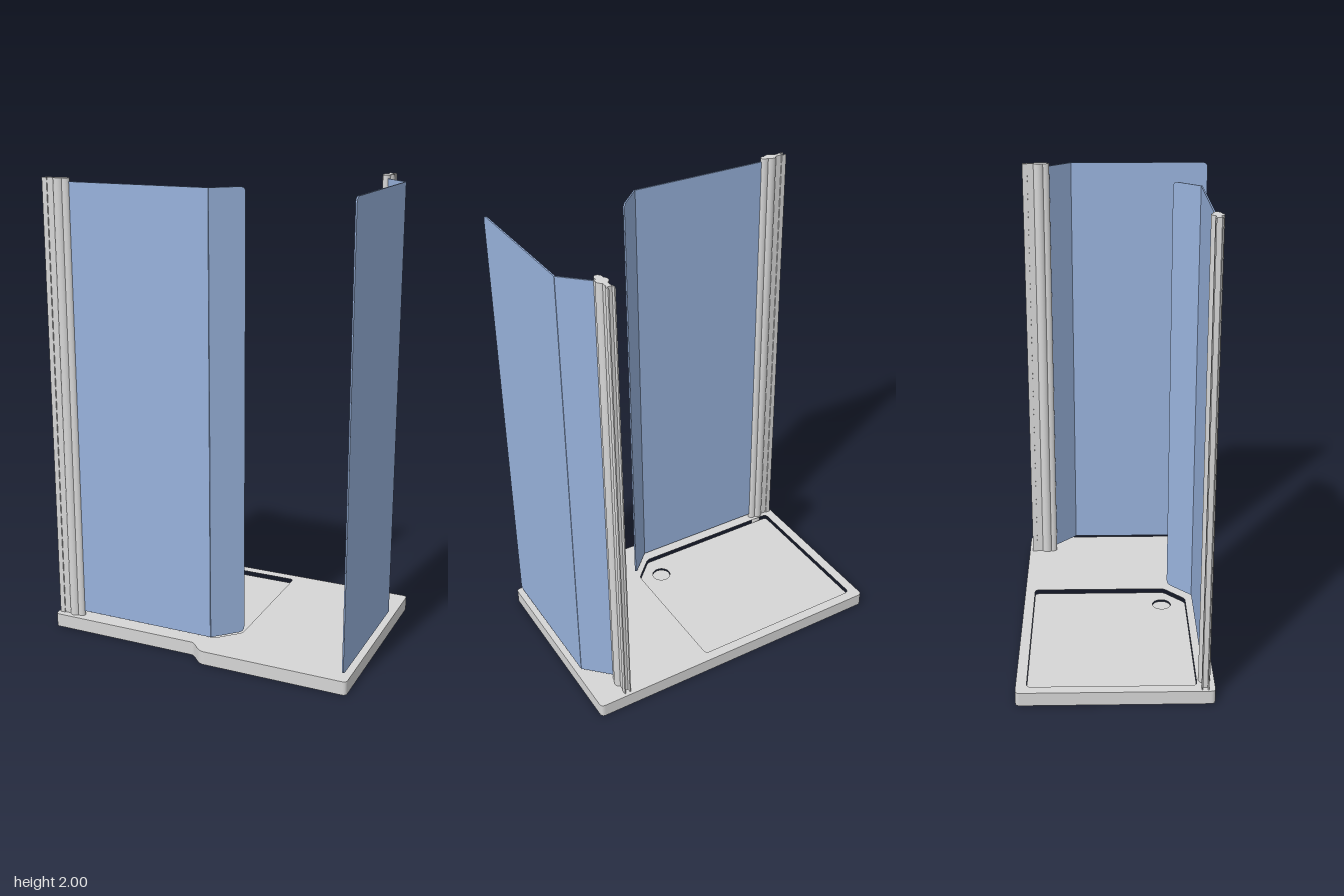
import * as THREE from 'three';

const V = (x, y) => new THREE.Vector2(x, y);

// Trace a polygon with softened corners; each point is [x, y, radius]
function trace(path, pts) {
  const n = pts.length;
  pts.forEach(([x, y, r = 0], i) => {
    const c = V(x, y);
    const toward = ([px, py]) => {
      const d = V(px, py).sub(c);
      return c.clone().add(d.setLength(Math.min(r, d.length() / 2)));
    };
    const a = toward(pts[(i + n - 1) % n]), b = toward(pts[(i + 1) % n]);
    if (i === 0) path.moveTo(a.x, a.y); else path.lineTo(a.x, a.y);
    if (r > 0) path.quadraticCurveTo(c.x, c.y, b.x, b.y);
  });
  path.closePath();
  return path;
}

// Plan outlines are given as [x, z, radius]
const plan = (pts) => pts.map(([x, z, r]) => [x, -z, r]);
const circle = (x, z, r) => new THREE.Path().absarc(x, -z, r, 0, Math.PI * 2, true);

export function createModel() {
  const root = new THREE.Group();
  const grey = new THREE.MeshStandardMaterial({ color: 0xd6d6d6 });
  grey.name = 'light grey';
  const blue = new THREE.MeshStandardMaterial({ color: 0x98b2dc });
  blue.name = 'blue glass';

  const add = (parent, geometry, material, name) => {
    const mesh = new THREE.Mesh(geometry, material);
    mesh.name = name;
    parent.add(mesh);
    return mesh;
  };

  // Horizontal slab between two heights
  const slab = (shape, y0, y1, name) => {
    const g = new THREE.ExtrudeGeometry(shape, { depth: y1 - y0, bevelEnabled: false, curveSegments: 16 });
    g.rotateX(-Math.PI / 2);
    g.translate(0, y0, 0);
    return add(root, g, grey, name);
  };

  // Tray with an open well and sockets below the posts
  const well = plan([
    [-0.655, -0.395, 0.02], [0.148, -0.395, 0.02], [0.148, 0.212, 0.015],
    [0.052, 0.308, 0.015], [-0.655, 0.308, 0.02],
  ]);
  const tray = trace(new THREE.Shape(), plan([
    [-0.7, -0.44, 0.02], [0.7, -0.44, 0.02], [0.7, 0.44, 0.02],
    [0.048, 0.44, 0.02], [-0.01, 0.382, 0.012], [-0.7, 0.382, 0.02],
  ]));
  tray.holes.push(trace(new THREE.Path(), well), circle(-0.615, 0.34, 0.02), circle(0.563, -0.355, 0.02));
  slab(tray, 0, 0.06, 'tray');

  // Sunken floor with a drain
  const floor = trace(new THREE.Shape(), well);
  floor.holes.push(circle(0.037, 0.198, 0.042));
  slab(floor, 0.02, 0.04, 'trayFloor');
  const drain = add(root, new THREE.CylinderGeometry(0.042, 0.042, 0.006, 32), grey, 'drainCover');
  drain.position.set(0.037, 0.029, 0.198);

  // Hinge post: wall channel, round tube and glass clamp, running along local x
  const H = 1.94, midY = 0.06 + H / 2;
  const post = (name, x, z, turn) => {
    const g = new THREE.Group();
    g.name = name;
    const bar = (part, u, w, across, d) =>
      add(g, new THREE.BoxGeometry(w, H, d), grey, part).position.set(u, midY, across);
    for (const s of [-1, 1]) bar('channelSide', 0.011, 0.022, s * 0.0125, 0.005);
    bar('channelWeb', 0.02, 0.005, 0, 0.025);
    bar('wallTongue', 0.0375, 0.035, 0, 0.02);
    const tube = add(g, new THREE.CylinderGeometry(0.025, 0.025, H, 32), grey, 'hingeTube');
    tube.position.set(0.073, midY, 0);
    const clamp = add(g, new THREE.CylinderGeometry(0.016, 0.016, H, 24), grey, 'glassClamp');
    clamp.scale.x = 1.25;
    clamp.position.set(0.101, midY, 0);
    g.position.set(x, 0, z);
    g.rotation.y = turn;
    root.add(g);
  };
  post('leftPost', -0.69, 0.34, 0);
  post('rightPost', 0.563, -0.425, -Math.PI / 2);

  // Upright pane from plan point a to b, with rounded corners at the free end
  const pane = (name, [ax, az], [bx, bz], r) => {
    const L = Math.hypot(bx - ax, bz - az), T = 0.006;
    const shape = trace(new THREE.Shape(), [[0, 0.08], [L, 0.08, r], [L, 1.985, r], [0, 1.985]]);
    const g = new THREE.ExtrudeGeometry(shape, { depth: T, bevelEnabled: false, curveSegments: 8 });
    g.translate(0, 0, -T / 2);
    const m = add(root, g, blue, name);
    m.position.set(ax, 0, az);
    m.rotation.y = -Math.atan2(bz - az, bx - ax);
  };
  pane('frontGlass', [-0.58, 0.34], [0.053, 0.34], 0);
  pane('frontGlassWing', [0.053, 0.34], [0.162, 0.231], 0.025);
  pane('sideGlassWing', [0.57, -0.317], [0.677, -0.21], 0);
  pane('sideGlass', [0.677, -0.21], [0.677, 0.42], 0.025);

  return root;
}
